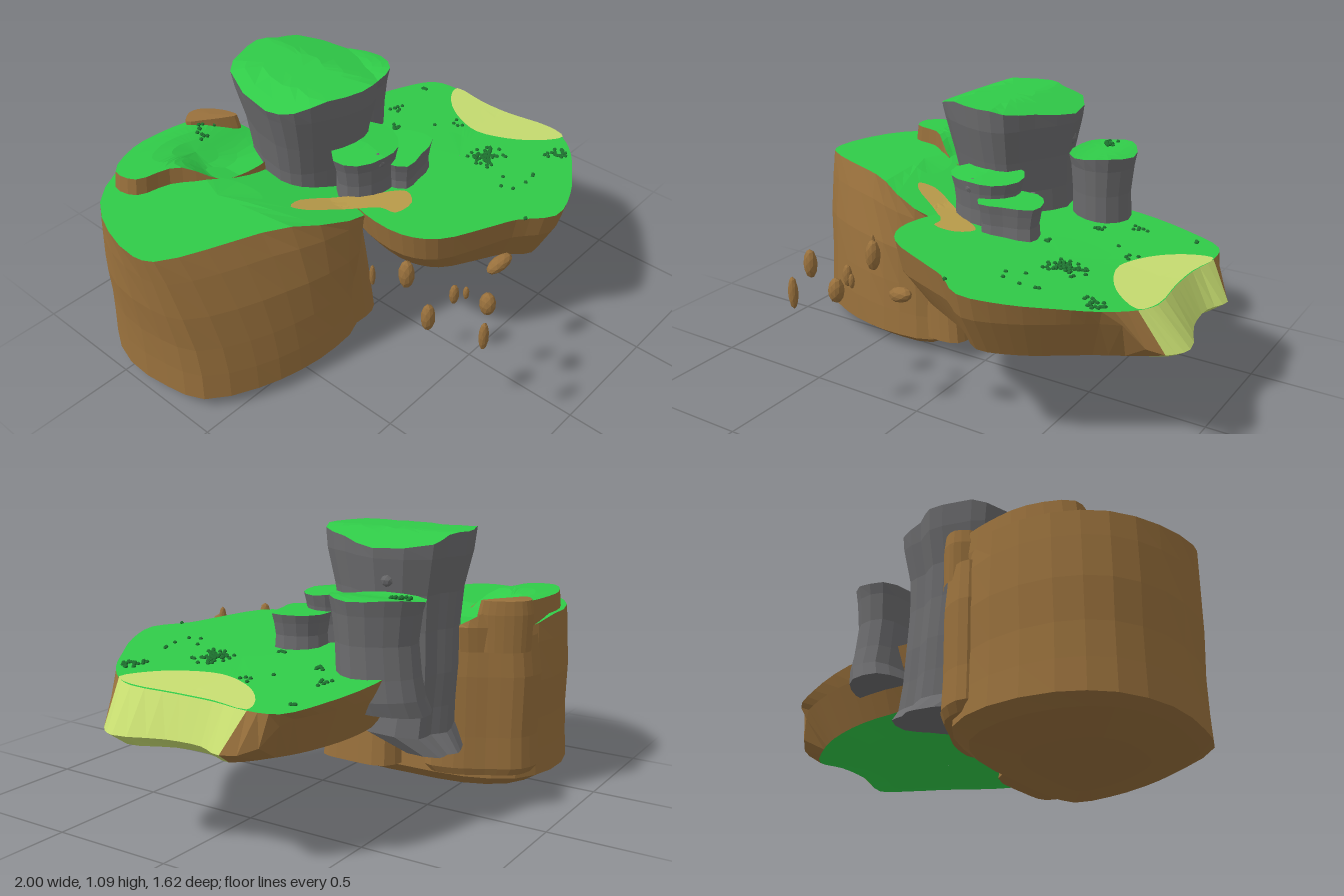
import * as THREE from 'three';
import { mergeGeometries } from 'three/addons/utils/BufferGeometryUtils.js';

const paint = (name, color) => {
  const m = new THREE.MeshStandardMaterial({ color, flatShading: true });
  m.name = name;
  return m;
};

// Outlines are [x, z] lists running left, front, right, back.
const mix = (a, b, t) => a.map((p, i) => [p[0] + (b[i][0] - p[0]) * t, p[1] + (b[i][1] - p[1]) * t]);

// Smooth closed ring: k points per outline point, y a number or a function of (x, z)
function ring(outline, y, s = 1, dx = 0, dz = 0, k = 3) {
  const c = outline.reduce((a, p) => [a[0] + p[0] / outline.length, a[1] + p[1] / outline.length], [0, 0]);
  const curve = new THREE.CatmullRomCurve3(outline.map(p => new THREE.Vector3(p[0], 0, p[1])), true);
  const n = outline.length * k, pts = [];
  for (let j = 0; j < n; j++) {
    const p = curve.getPoint(j / n);
    const x = c[0] + (p.x - c[0]) * s + dx, z = c[1] + (p.z - c[1]) * s + dz;
    pts.push([x, typeof y === 'function' ? y(x, z) : y, z]);
  }
  return pts;
}

// Skin between rings listed from top to bottom; from/to limit the columns
function skin(rings, from = 0, to = rings[0].length) {
  const n = rings[0].length, pos = [];
  for (let r = 0; r + 1 < rings.length; r++) {
    for (let j = from; j < to; j++) {
      const a = rings[r][j % n], b = rings[r + 1][j % n], c = rings[r + 1][(j + 1) % n], d = rings[r][(j + 1) % n];
      pos.push(...a, ...b, ...c, ...a, ...c, ...d);
    }
  }
  const g = new THREE.BufferGeometry();
  g.setAttribute('position', new THREE.Float32BufferAttribute(pos, 3));
  g.computeVertexNormals();
  return g;
}

const lid = (outline, y, k = 3) => skin([0.001, 0.3, 0.55, 0.8, 1].map(s => ring(outline, y, s, 0, 0, k)));

const cliffY = x => 0.72 - Math.max(0, x + 0.5) * 0.25;
// The ledge is level on its left and ramps down to the cliff on its right
const ledgeY = (x, z) => 0.79 - 0.1 * THREE.MathUtils.smoothstep(x, -0.6, -0.42) * THREE.MathUtils.smoothstep(z, -0.72, -0.48);
const islandY = (x, z) => 0.635 - 0.075 * x + 0.04 * Math.max(0, z);
const groundY = (x, z) => Math.max(cliffY(x), islandY(x, z));

const cliffTop = [[-1, -0.3], [-0.97, -0.22], [-0.8, -0.13], [-0.6, -0.05], [-0.4, 0.06], [-0.18, 0.1], [-0.1, -0.05],
  [-0.1, -0.3], [-0.18, -0.55], [-0.32, -0.72], [-0.5, -0.79], [-0.72, -0.76], [-0.88, -0.65], [-0.97, -0.48]];
const cliffFoot = [[-0.97, -0.26], [-0.92, -0.1], [-0.74, 0.02], [-0.56, 0.08], [-0.38, 0.1], [-0.22, 0.07], [-0.18, -0.08],
  [-0.18, -0.3], [-0.2, -0.56], [-0.3, -0.74], [-0.5, -0.81], [-0.74, -0.78], [-0.9, -0.67], [-0.98, -0.48]];
const ledge = [[-0.77, -0.68], [-0.75, -0.58], [-0.62, -0.54], [-0.5, -0.45], [-0.35, -0.4], [-0.2, -0.42],
  [-0.15, -0.55], [-0.2, -0.64], [-0.27, -0.73], [-0.34, -0.74], [-0.45, -0.76], [-0.62, -0.76]];
const rim = [[-0.38, -0.73], [-0.32, -0.68], [-0.25, -0.63], [-0.19, -0.6], [-0.2, -0.67], [-0.26, -0.76], [-0.32, -0.78]];
const buttress = [[-0.4, -0.15], [-0.38, 0.02], [-0.22, 0.08], [-0.1, 0.06], [-0.08, -0.06], [-0.1, -0.24], [-0.25, -0.28]];
const backSlab = [[-0.45, -0.6], [-0.3, -0.45], [-0.13, -0.42], [-0.14, -0.54], [-0.2, -0.65], [-0.28, -0.77], [-0.4, -0.79]];
const islandTop = [[-0.2, 0.1], [-0.21, 0.3], [-0.14, 0.42], [0.05, 0.51], [0.17, 0.56], [0.3, 0.655], [0.47, 0.61],
  [0.62, 0.52], [0.75, 0.43], [0.84, 0.33], [0.875, 0.24], [0.855, 0.03], [0.855, -0.12], [0.875, -0.28],
  [0.85, -0.4], [0.7, -0.47], [0.45, -0.52], [0.2, -0.5], [0, -0.4], [-0.12, -0.1]];
const beach = [[0.62, 0.03], [0.66, 0.16], [0.74, 0.27], [0.84, 0.33], [0.875, 0.24], [0.855, 0.03], [0.855, -0.12],
  [0.875, -0.28], [0.82, -0.27], [0.72, -0.19], [0.65, -0.08]];

// Lower island outlines: shrunk, with the beach end pushed out
const lowerIsland = (s, end) => islandTop.map(([x, z], i) =>
  i >= 9 && i <= 13 ? end[i - 9] : [0.4 + (x - 0.4) * s, 0.06 + (z - 0.06) * s]);

export function createModel() {
  const grass = paint('grass green', 0x30cb48);
  const earth = paint('earth brown', 0x98703c);
  const stone = paint('stone grey', 0x6c6c6e);
  const sand = paint('pale sand', 0xc6dc70);
  const dirt = paint('path tan', 0xba9c4a);
  const tuft = paint('tuft dark green', 0x1e7430);
  const model = new THREE.Group();
  const add = (name, geo, mat, parent = model) => {
    const m = new THREE.Mesh(geo, mat);
    m.name = name;
    parent.add(m);
    return m;
  };

  // Tall cliff with rounded foot
  const c = (t, y, s) => ring(mix(cliffTop, cliffFoot, t), y, s, 0, 0, 2);
  add('cliff', skin([ring(cliffTop, cliffY, 1, 0, 0, 2), c(0.3, 0.62, 1), c(0.65, 0.46, 1), c(0.9, 0.3, 0.98), c(1, 0.17, 0.985),
    c(1, x => 0.075 + 0.03 * x, 1), c(1, 0.025, 0.88), c(1, 0, 0.5), c(1, 0, 0.001)]), earth);
  add('cliffGrass', lid(cliffTop, cliffY, 2), grass);
  add('cliffLedge', skin([ring(ledge, ledgeY), ring(ledge, 0.7, 1.04), ring(ledge, 0.6, 1)]), earth);
  add('ledgeGrass', lid(ledge, ledgeY), grass);
  add('ledgeRim', skin([ring(rim, 0.81, 0.001), ring(rim, 0.805, 0.9), ring(rim, 0.75), ring(rim, 0.6, 0.95)]), earth);
  add('cliffButtress', skin([ring(buttress, 0.6, 0.85, -0.04), ring(buttress, 0.35, 0.93, -0.02),
    ring(buttress, 0.08, 1), ring(buttress, 0.08, 0.001)]), earth);
  add('cliffBackSlab', skin([ring(backSlab, 0.66, 0.9), ring(backSlab, 0.5), ring(backSlab, 0.25, 0.98),
    ring(backSlab, 0.12, 1.02), ring(backSlab, 0.09, 0.9), ring(backSlab, 0.09, 0.001)]), earth);

  // Floating island: earth sides, sandy end, grass above and below
  const mid = lowerIsland(0.96, [[0.945, 0.31], [1, 0.22], [0.935, 0.03], [0.925, -0.12], [0.965, -0.23]]);
  const low = lowerIsland(0.83, [[0.84, 0.28], [0.945, 0.2], [0.88, 0.03], [0.87, -0.12], [0.9, -0.22]]);
  const lowY = x => 0.385 + 0.05 * Math.max(0, 0.3 - x) / 0.4;
  const midY = x => 0.54 - 0.11 * THREE.MathUtils.smoothstep(x, 0.8, 0.92);
  const sides = [ring(islandTop, islandY), ring(mid, midY), ring(low, lowY)];
  add('islandSide', skin(sides, 39, 87), earth);
  add('islandBeachSlope', skin(sides, 27, 39), sand);
  add('islandGrass', lid(islandTop, islandY), grass);
  add('islandUnderside', skin([ring(low, lowY), ring(low, x => lowY(x) - 0.02, 0.75), ring(low, 0.362, 0.4),
    ring(low, 0.36, 0.001)]), grass);
  add('beach', lid(beach, (x, z) => islandY(x, z) + 0.005), sand);

  // Dirt path from cliff to island
  const pathY = (x, z) => groundY(x, z) + 0.007;
  add('pathStrip', lid([[-0.4, -0.1], [-0.37, -0.05], [-0.24, 0.03], [-0.14, 0.1], [-0.08, 0.05], [-0.17, -0.03],
    [-0.33, -0.12]], pathY), dirt);
  add('pathEnd', lid([[-0.18, 0.06], [-0.13, 0.13], [-0.12, 0.19], [-0.02, 0.19], [0.03, 0.12], [-0.04, 0.06],
    [-0.11, 0.04]], pathY), dirt);

  // Grey rock pillars with grass tops; levels are [y, scale, dx, dz]
  const pillar = (name, outline, topY, levels) => {
    const g = new THREE.Group();
    g.name = name;
    model.add(g);
    const rings = levels.map(l => ring(outline, l[0], l[1], l[2], l[3], 2));
    rings.unshift(ring(outline, topY, 1, 0, 0, 2));
    const last = rings[rings.length - 1];
    const centre = [0, 1, 2].map(i => last.reduce((a, p) => a + p[i] / last.length, 0));
    rings.push(last.map(() => centre));
    add(name + 'Stone', skin(rings), stone, g);
    add(name + 'Grass', lid(outline, topY, 2), grass, g);
  };
  pillar('mainPillar', [[-0.35, -0.26], [-0.31, -0.15], [-0.2, -0.08], [-0.06, -0.03], [0.05, -0.05], [0.12, -0.18],
    [0.21, -0.36], [0.13, -0.57], [0.03, -0.58], [-0.05, -0.62], [-0.17, -0.59], [-0.27, -0.54]],
  x => 1.09 - 0.25 * Math.max(0, x) - 0.35 * Math.max(0, -0.22 - x),
  [[1, 0.97, 0.005, 0], [0.86, 0.86, 0.01, 0], [0.72, 0.8, 0.02, -0.01], [0.55, 0.78, 0.03, -0.02], [0.42, 0.8, 0.04, -0.01],
    [(x, z) => 0.34 + 0.1 * (z + 0.3), 0.84, 0.05, 0],
    [(x, z) => 0.26 + 0.1 * (z + 0.45), 0.55, 0.07, -0.14]]);
  pillar('sidePillar', [[0.18, -0.47], [0.2, -0.33], [0.3, -0.27], [0.4, -0.29], [0.46, -0.4], [0.41, -0.53],
    [0.32, -0.61], [0.21, -0.59]], x => 0.88 + 0.01 * Math.sin(x * 20),
  [[0.83, 0.93], [0.72, 0.86], [0.6, 0.88, 0, -0.01], [0.52, 0.92, 0, -0.02],
    [(x, z) => 0.46 + 0.1 * (z + 0.6), 0.95, -0.02, -0.03]]);
  pillar('frontPillar', [[-0.19, -0.07], [-0.15, 0.02], [-0.04, 0.065], [0.06, 0.05], [0.13, -0.04], [0.1, -0.14],
    [-0.06, -0.17]], (x, z) => 0.825 - 0.08 * Math.abs(x + 0.03) - 0.1 * z, [[0.77, 0.92], [0.7, 0.86], [0.55, 0.9]]);
  pillar('stepRock', [[0, 0.02], [0.04, 0.115], [0.14, 0.1], [0.26, 0.065], [0.25, -0.04], [0.18, -0.11], [0.05, -0.09]],
    0.755, [[0.72, 0.93], [0.67, 0.87], [0.55, 0.95]]);

  // Small knobs on the pillars: [x, y, z]
  for (const [x, y, z] of [[0.16, 0.92, -0.4], [0.09, 0.69, -0.21], [-0.04, 0.79, 0.03]]) {
    const k = add('stoneKnob', new THREE.IcosahedronGeometry(0.033, 1), stone);
    k.position.set(x, y, z);
  }

  // Hovering pebbles: [x, y, z, rx, ry, rz]
  const pebbles = [[-0.36, 0.55, 0.285, 0.012, 0.05, 0.012], [-0.28, 0.56, 0.385, 0.03, 0.065, 0.032],
    [-0.415, 0.57, 0.6, 0.028, 0.06, 0.026], [-0.245, 0.555, 0.585, 0.02, 0.045, 0.018],
    [-0.205, 0.55, 0.61, 0.012, 0.03, 0.012], [-0.2, 0.55, 0.705, 0.03, 0.05, 0.032],
    [-0.335, 0.54, 0.79, 0.02, 0.065, 0.018], [0.015, 0.545, 0.6, 0.06, 0.03, 0.03]];
  for (const [x, y, z, a, b, d] of pebbles) {
    const p = add('floatingPebble', new THREE.IcosahedronGeometry(1, 1), earth);
    p.position.set(x, y, z);
    p.scale.set(a, b, d);
    if (a > b) p.rotation.set(0, -0.25, 0.3);
  }

  // Scattered tufts: [x, z, spread, count, height if not on the ground]
  let seed = 7;
  const rand = () => (seed = (seed * 16807) % 2147483647) / 2147483647;
  const clumps = [[0.47, 0.19, 0.1, 60], [0.69, 0.39, 0.055, 18], [0.52, -0.35, 0.04, 7], [0.4, -0.24, 0.04, 8],
    [0.29, -0.01, 0.03, 4], [0.35, 0.4, 0.1, 4], [0.48, 0.42, 0.02, 2], [0.76, -0.38, 0.02, 4], [0.2, 0.58, 0.01, 1],
    [0.6, -0.1, 0.09, 5], [0.29, -0.53, 0.05, 15, 0.88], [-0.33, -0.65, 0.06, 11]];
  const blobs = [];
  for (const [x, z, spread, count, y] of clumps) {
    for (let i = 0; i < count; i++) {
      const a = rand() * Math.PI * 2, r = spread * rand();
      const px = x + r * Math.cos(a), pz = z + r * 0.8 * Math.sin(a);
      const ground = y ?? (px < -0.2 ? ledgeY(px, pz) : islandY(px, pz));
      blobs.push(new THREE.IcosahedronGeometry(0.009, 0).translate(px, ground + 0.002, pz));
    }
  }
  add('grassTufts', mergeGeometries(blobs), tuft);
  return model;
}
